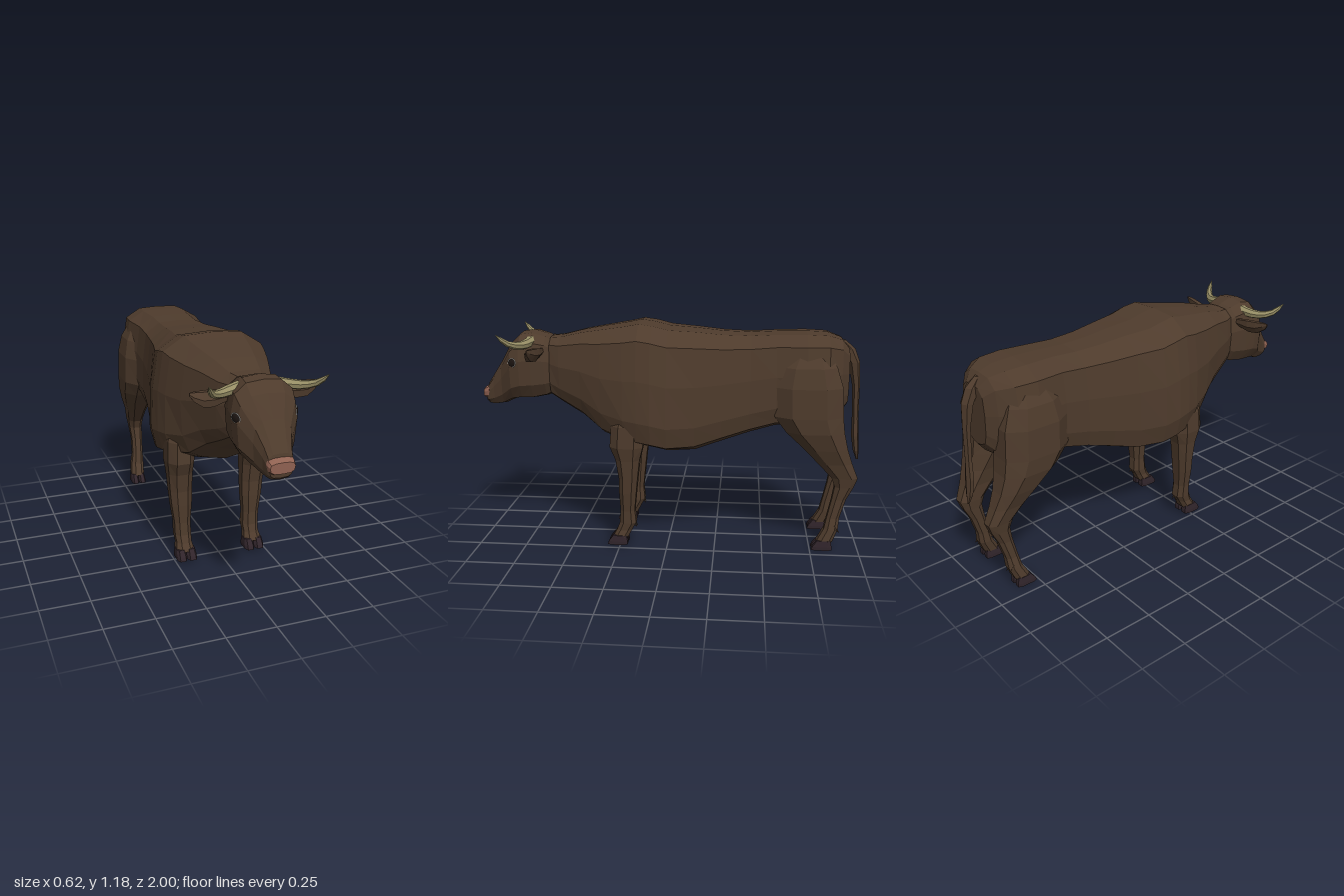
import * as THREE from 'three';

const mat = (name, color) => Object.assign(new THREE.MeshStandardMaterial({ color }), { name });

// Skins a list of equal-length rings into a closed, faceted solid facing outward.
function loft(rings) {
  const n = rings[0].length, tris = [];
  for (let i = 0; i < rings.length - 1; i++) {
    for (let j = 0; j < n; j++) {
      const k = (j + 1) % n, a = rings[i][j], b = rings[i][k], c = rings[i + 1][k], d = rings[i + 1][j];
      tris.push([a, b, c], [a, c, d]);
    }
  }
  const cap = (ring, flip) => {
    const mid = ring.reduce((s, p) => s.add(p), new THREE.Vector3()).divideScalar(n);
    ring.forEach((p, j) => {
      const q = ring[(j + 1) % n];
      tris.push(flip ? [mid, q, p] : [mid, p, q]);
    });
  };
  cap(rings[0], true);
  cap(rings[rings.length - 1], false);
  const cross = new THREE.Vector3();
  const volume = tris.reduce((s, [a, b, c]) => s + a.dot(cross.crossVectors(b, c)), 0);
  if (volume < 0) tris.forEach(t => t.reverse());
  const geo = new THREE.BufferGeometry().setFromPoints(tris.flat());
  geo.computeVertexNormals();
  return geo;
}

// Ring mirrored from a half profile of [x, y] that runs from top to bottom centre.
function mirrored(half, z) {
  const right = half.map(([x, y]) => new THREE.Vector3(x, y, z));
  const left = half.slice(1, -1).reverse().map(([x, y]) => new THREE.Vector3(-x, y, z));
  return [...right, ...left];
}

// Vertical limb from rows [y, front z, back z, inner x, outer x], on side s; boxy below 1 squares the section.
function limb(rows, s = 1, sides = 8, boxy = 0.8) {
  const k = 1 / Math.cos(Math.PI / sides);
  const square = v => Math.sign(v) * Math.pow(Math.abs(v * k), boxy);
  return loft(rows.map(([y, zf, zb, xi, xo]) => Array.from({ length: sides }, (_, i) => {
    const a = ((i + 0.5) / sides) * Math.PI * 2;
    return new THREE.Vector3(
      s * ((xi + xo) / 2 + ((xo - xi) / 2) * square(Math.cos(a))), y,
      (zf + zb) / 2 + ((zf - zb) / 2) * square(Math.sin(a)));
  })));
}

export function createModel() {
  const hide = mat('brownHide', 0x4e3b2c), hoofMat = mat('darkHoof', 0x30242a);
  const hornMat = mat('paleHorn', 0x988f66), noseMat = mat('pinkNose', 0x8f6151);
  const eyeMat = mat('darkEye', 0x1c1512), rimMat = mat('whiteEyeRim', 0xd8d8d4);
  const model = new THREE.Group();
  const add = (name, geo, material, parent = model) => {
    const m = new THREE.Mesh(geo, material);
    m.name = name;
    parent.add(m);
    return m;
  };

  // Body and neck: [z, top, bottom, half width, narrowing of the underside]
  const body = [
    [0.625, 1.09, 0.77, 0.12, 0.85], [0.57, 1.095, 0.735, 0.15, 0.78], [0.45, 1.125, 0.665, 0.2, 0.78],
    [0.34, 1.145, 0.575, 0.245, 0.85], [0.22, 1.165, 0.535, 0.285, 0.96], [0.15, 1.18, 0.52, 0.3, 0.98],
    [0.08, 1.17, 0.51, 0.307, 1], [0, 1.15, 0.49, 0.297, 0.98], [-0.14, 1.14, 0.495, 0.258, 0.97],
    [-0.28, 1.125, 0.545, 0.23, 0.97], [-0.42, 1.12, 0.595, 0.212, 0.97], [-0.55, 1.127, 0.635, 0.212, 0.97],
    [-0.7, 1.13, 0.65, 0.235, 0.88], [-0.81, 1.125, 0.67, 0.222, 0.85], [-0.88, 1.1, 0.7, 0.155, 0.85],
    [-0.92, 1.05, 0.75, 0.1, 0.85],
  ];
  add('body', loft(body.map(([z, t, b, w, k]) => {
    const h = t - b;
    return mirrored([[0, t], [0.5 * w, t - 0.012 * h], [0.87 * w, t - 0.12 * h], [0.97 * w, t - 0.42 * h],
      [w * (1 + k) / 2, t - 0.74 * h], [0.92 * w * k, b + 0.1 * h], [0.5 * w * k, b + 0.035 * h], [0, b]], z);
  })), hide);

  // Head: [z, top, bottom, half width]
  const head = new THREE.Group();
  head.name = 'head';
  model.add(head);
  const skull = ([z, t, b, w]) => {
    const h = t - b;
    return mirrored([[0, t], [0.55 * w, t - 0.025 * h], [0.9 * w, t - 0.15 * h], [w, t - 0.4 * h],
      [0.93 * w, t - 0.76 * h], [0.65 * w, b + 0.05 * h], [0, b]], z);
  };
  add('skull', loft([
    [0.59, 1.06, 0.8, 0.1], [0.65, 1.1, 0.77, 0.13], [0.72, 1.12, 0.755, 0.145], [0.78, 1.112, 0.755, 0.153],
    [0.83, 1.065, 0.75, 0.143], [0.89, 0.965, 0.722, 0.093], [0.94, 0.89, 0.715, 0.071], [0.972, 0.84, 0.72, 0.063],
    [0.985, 0.79, 0.733, 0.054],
  ].map(skull)), hide, head);
  add('nose', loft([[0.968, 0.828, 0.754, 0.065], [0.985, 0.82, 0.75, 0.064], [1, 0.808, 0.756, 0.059]].map(skull)), noseMat, head);

  // Tail with a thicker tuft
  add('tail', limb([
    [1.085, -0.85, -0.9, -0.015, 0.015], [1.04, -0.88, -0.95, -0.03, 0.03], [0.97, -0.925, -0.978, -0.031, 0.031],
    [0.85, -0.95, -0.985, -0.022, 0.022], [0.68, -0.958, -0.988, -0.018, 0.018], [0.58, -0.96, -0.994, -0.026, 0.026],
    [0.5, -0.972, -0.999, -0.02, 0.02], [0.45, -0.99, -1, -0.003, 0.003],
  ], 1, 6, 1), hide);

  for (const s of [1, -1]) {
    const side = s > 0 ? 'left' : 'right';

    // Front leg
    add(side + 'FrontLeg', limb([
      [0.74, 0.25, 0.13, 0.14, 0.24], [0.66, 0.285, 0.12, 0.13, 0.272], [0.55, 0.293, 0.122, 0.135, 0.275],
      [0.48, 0.265, 0.14, 0.138, 0.265], [0.38, 0.25, 0.152, 0.14, 0.257], [0.3, 0.25, 0.16, 0.142, 0.25],
      [0.2, 0.245, 0.17, 0.15, 0.236], [0.13, 0.25, 0.163, 0.147, 0.234], [0.09, 0.265, 0.185, 0.15, 0.23],
      [0.05, 0.288, 0.205, 0.142, 0.239],
    ], s), hide);

    // Hind leg with thigh and hock
    add(side + 'HindLeg', limb([
      [1.07, -0.64, -0.8, 0.06, 0.18], [0.97, -0.57, -0.85, 0.05, 0.235], [0.87, -0.54, -0.882, 0.04, 0.254],
      [0.72, -0.545, -0.89, 0.035, 0.256], [0.64, -0.605, -0.9, 0.045, 0.25], [0.55, -0.7, -0.922, 0.07, 0.226],
      [0.47, -0.775, -0.95, 0.085, 0.198], [0.39, -0.85, -0.983, 0.09, 0.18], [0.34, -0.868, -0.965, 0.095, 0.172],
      [0.27, -0.857, -0.93, 0.1, 0.165], [0.17, -0.835, -0.9, 0.105, 0.168], [0.11, -0.822, -0.895, 0.105, 0.18],
      [0.042, -0.785, -0.868, 0.112, 0.19],
    ], s), hide);

    // Cloven hooves and dewclaws: [name, inner x, outer x, toe z, heel z, ground y, dewclaw z]
    for (const [name, xi, xo, zf, zb, y, zc] of [
      ['FrontHoof', 0.137, 0.243, 0.315, 0.208, 0.012, 0.173], ['HindHoof', 0.11, 0.195, -0.758, -0.865, 0, -0.887]]) {
      const mid = (xi + xo) / 2;
      for (const [a, b] of [[xi, mid - 0.001], [mid + 0.001, xo]]) {
        add(side + name, limb([
          [y, zf, zb, a, b], [y + 0.018, zf - 0.008, zb, a, b], [y + 0.05, zf - 0.032, zb + 0.006, a + 0.004, b - 0.004],
        ], s, 8, 0.6), hoofMat);
        const claw = add(side + name + 'Dewclaw', new THREE.ConeGeometry(0.015, 0.05, 5).toNonIndexed(), hide);
        claw.geometry.computeVertexNormals();
        claw.position.set(s * (mid + (a + b) / 2) / 2, y + 0.11, zc);
        claw.rotation.x = -2.5;
      }
    }

    // Ear: leaf-shaped rings [x, y, z, half height, half depth]
    add(side + 'Ear', loft([
      [0.1, 1.02, 0.67, 0.018, 0.02], [0.15, 1.018, 0.67, 0.028, 0.022], [0.2, 1.016, 0.676, 0.039, 0.028],
      [0.25, 1.02, 0.686, 0.037, 0.027], [0.29, 1.035, 0.69, 0.023, 0.015], [0.31, 1.047, 0.69, 0.008, 0.004],
    ].map(([x, y, z, ry, rz]) => Array.from({ length: 6 }, (_, i) => {
      const a = (i / 6) * Math.PI * 2;
      return new THREE.Vector3(s * x, y + ry * Math.sin(a), z + rz * Math.cos(a) - 0.3 * ry * Math.sin(a));
    }))), hide, head);

    // Horn: tapered sweep that curls forward and up
    const path = new THREE.CatmullRomCurve3([
      [0.085, 1.072, 0.72], [0.15, 1.062, 0.735], [0.205, 1.062, 0.765], [0.25, 1.08, 0.805], [0.278, 1.124, 0.85],
    ].map(([x, y, z]) => new THREE.Vector3(s * x, y, z)));
    const steps = 7, frames = path.computeFrenetFrames(steps);
    add(side + 'Horn', loft(Array.from({ length: steps + 1 }, (_, i) => {
      const t = i / steps, r = 0.002 + 0.026 * Math.pow(1 - t, 0.5), c = path.getPointAt(t);
      return Array.from({ length: 7 }, (_, j) => {
        const a = (j / 7) * Math.PI * 2;
        return c.clone().addScaledVector(frames.normals[i], r * Math.cos(a)).addScaledVector(frames.binormals[i], r * Math.sin(a));
      });
    })), hornMat, head);

    // Eye set into the brow, with a thin pale rim
    const eye = new THREE.Group();
    eye.name = side + 'Eye';
    eye.position.set(s * 0.143, 0.962, 0.815);
    eye.rotation.set(0, s * 1.1, s * 0.5, 'YXZ');
    head.add(eye);
    add('eyeball', new THREE.SphereGeometry(0.021, 12, 8), eyeMat, eye).scale.set(1.15, 0.95, 0.4);
    add('eyeRim', new THREE.TorusGeometry(0.022, 0.002, 5, 14), rimMat, eye).scale.set(1.2, 1, 1);
  }
  return model;
}
